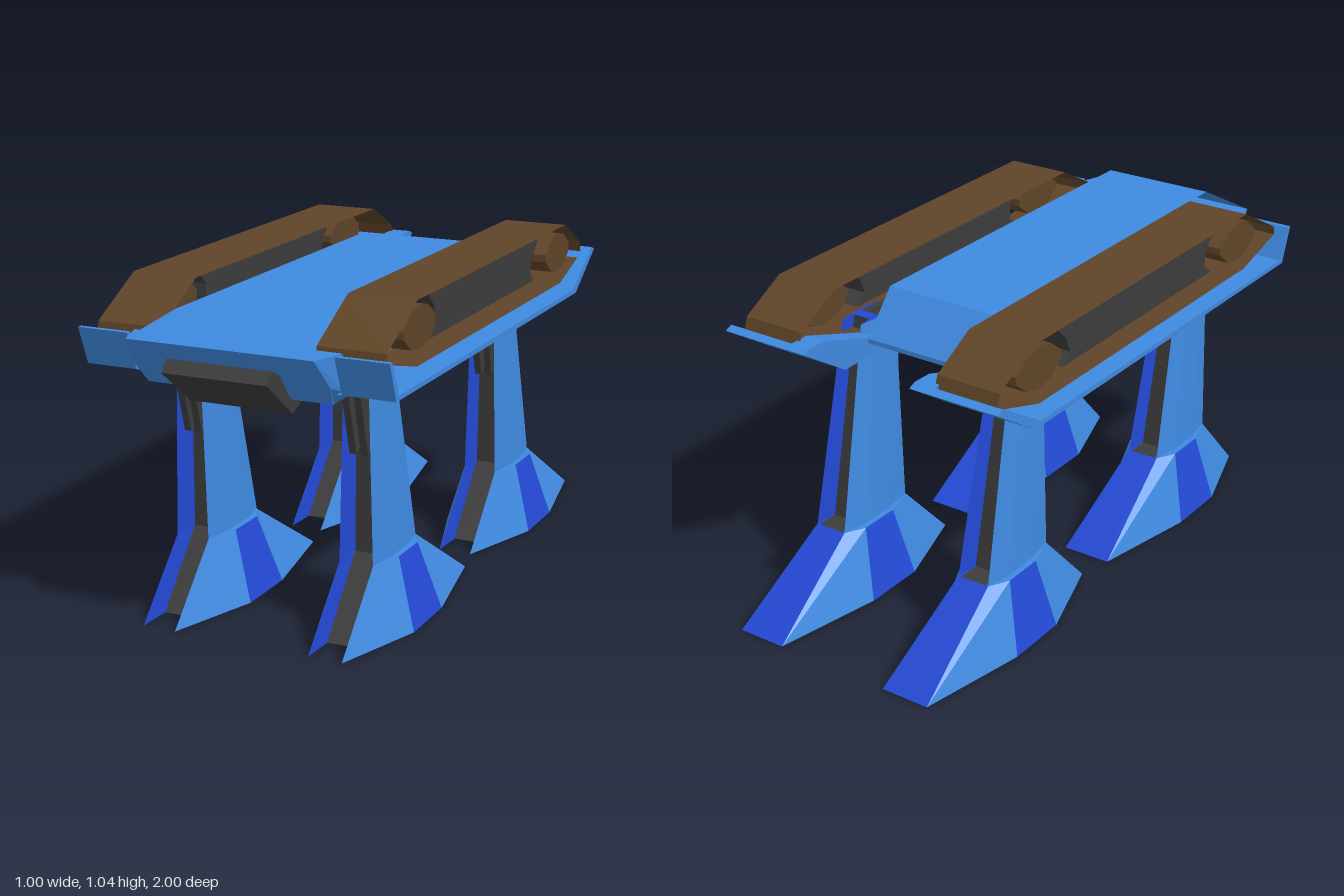
import * as THREE from 'three';

const mat = (color, side = THREE.FrontSide) =>
  new THREE.MeshStandardMaterial({ color, side, flatShading: true });
const BLUE = mat(0x3f8ae0), ROYAL = mat(0x2349d4), DARK = mat(0x3c3c3c);
const BROWN = mat(0x5f4428), BELT = mat(0x5f4428, THREE.DoubleSide);
const SHEET = mat(0x3f8ae0, THREE.DoubleSide), CAP = mat(0x2349d4, THREE.DoubleSide);

// Extrudes a (z, y) profile across x0..x1.
function slab(name, profile, x0, x1, material) {
  const shape = new THREE.Shape(profile.map(([z, y]) => new THREE.Vector2(z, y)));
  const geo = new THREE.ExtrudeGeometry(shape, { depth: x1 - x0, bevelEnabled: false });
  geo.rotateY(-Math.PI / 2).translate(x1, 0, 0);
  const mesh = new THREE.Mesh(geo, material);
  mesh.name = name;
  return mesh;
}

// Flat horizontal plate filling a ring of [x, y, z] points.
function plateOf(name, ring, material) {
  const shape = new THREE.Shape(ring.map(([x, , z]) => new THREE.Vector2(x, z)));
  const geo = new THREE.ShapeGeometry(shape).rotateX(Math.PI / 2).translate(0, ring[0][1], 0);
  const mesh = new THREE.Mesh(geo, material);
  mesh.name = name;
  return mesh;
}

// Skins rings of [x, y, z] points; pick(ring, side) chooses the material.
function skin(name, rings, { closed = true, caps = false, pick }) {
  const group = new THREE.Group();
  group.name = name;
  const bins = new Map();
  const tri = (m, ...pts) => {
    if (!bins.has(m)) bins.set(m, []);
    pts.forEach(p => bins.get(m).push(...p));
  };
  const n = rings[0].length, last = rings.length - 1;
  for (let i = 0; i < last; i++) {
    for (let j = 0; j < (closed ? n : n - 1); j++) {
      const k = (j + 1) % n, m = pick(i, j);
      const a = rings[i][j], b = rings[i][k], c = rings[i + 1][k], d = rings[i + 1][j];
      tri(m, a, b, c);
      tri(m, a, c, d);
    }
  }
  if (caps) for (let k = 1; k < n - 1; k++) {
    tri(pick(0, 0), rings[0][0], rings[0][k + 1], rings[0][k]);
    tri(pick(0, 0), rings[last][0], rings[last][k], rings[last][k + 1]);
  }
  for (const [m, pts] of bins) {
    const geo = new THREE.BufferGeometry();
    geo.setAttribute('position', new THREE.Float32BufferAttribute(pts, 3));
    geo.computeVertexNormals();
    const mesh = new THREE.Mesh(geo, m);
    mesh.name = name + 'Surface';
    group.add(mesh);
  }
  return group;
}

// Completes a half section (+x side) with its mirror image.
const mirrored = half => [...half, ...half.slice().reverse().map(([x, y, z]) => [-x, y, z])];

function makeLeg() {
  const leg = new THREE.Group();
  // Half sections: front channel floor, front flange, two side points, rear flange, rear channel floor
  const rings = [
    [0, [[0.05, 0.755], [0.055, 0.875], [0.152, 0.575], [0.152, 0.36], [0.082, -0.005], [0.06, -0.005]]],
    [0.225, [[0.05, 0.56], [0.055, 0.66], [0.09, 0.55], [0.09, 0.41], [0.055, 0.345], [0.045, 0.345]]],
    [0.225, [[0.05, 0.56], [0.055, 0.66], [0.07, 0.55], [0.07, 0.43], [0.055, 0.345], [0.045, 0.42]]],
    [0.89, [[0.034, 0.58], [0.038, 0.66], [0.042, 0.61], [0.042, 0.55], [0.036, 0.49], [0.03, 0.54]]],
  ].map(([y, pts]) => mirrored(pts.map(([x, z]) => [x, y, z])));
  const sides = [ROYAL, BLUE, BLUE, BLUE, ROYAL, DARK, ROYAL, BLUE, BLUE, BLUE, ROYAL, DARK];
  // The foot has a solid tail and coloured ankle panels
  const footSides = sides.map((m, j) => ([2, 5, 8].includes(j) ? ROYAL : m));
  leg.add(skin('shinAndFoot', rings, { pick: (i, j) => (i === 0 ? footSides : sides)[j] }));
  leg.add(plateOf('sole', rings[0], ROYAL), plateOf('hipTop', rings[3], CAP));
  // Two prongs inside the channel at the hip
  for (const x of [-0.03, 0.008]) {
    leg.add(slab('hipProng', [[0.73, 0.89], [0.71, 0.81], [0.64, 0.56], [0.57, 0.6], [0.57, 0.89]],
      x, x + 0.022, DARK));
  }
  return leg;
}

// side is +1 or -1: rollers and bar sit toward the outer edge of the belt
function makeTrack(side) {
  const track = new THREE.Group();
  const span = (a, b) => (side > 0 ? [a, b] : [-b, -a]);
  // Thin belt loop
  const loop = [[0.65, 1.044], [0.855, 0.935], [0.86, 0.905], [0.65, 0.85],
    [-0.57, 0.85], [-0.78, 0.915], [-0.765, 0.96], [-0.61, 1.044]];
  loop.push(loop[0]);
  track.add(skin('belt', loop.map(([z, y]) => [[-0.108, y, z], [0.108, y, z]]),
    { closed: false, pick: () => BELT }));
  // Flattened end rollers
  const half = [[0.115, 0.012], [0.06, 0.055], [0, 0.067], [-0.06, 0.055], [-0.115, 0.012]];
  const roller = [...half, ...half.slice().reverse().map(([z, y]) => [z, -y])];
  for (const z of [0.612, -0.558]) {
    track.add(slab('roller', roller.map(([dz, dy]) => [z + dz, 0.957 + dy]), ...span(-0.02, 0.1), BROWN));
  }
  // Core bar with notched ends
  track.add(slab('coreBar', [[0.495, 1.027], [0.44, 0.975], [0.44, 0.92], [0.48, 0.89],
    [-0.4, 0.89], [-0.36, 0.925], [-0.38, 0.975], [-0.435, 1.027]], ...span(-0.02, 0.075), DARK));
  return track;
}

export function createModel() {
  const model = new THREE.Group();
  model.name = 'fourLeggedWalker';

  // Lower hull, from the raked nose to the tapered tail
  const hull = [
    [[0.3, 0.925, 0.975], [0.315, 0.83, 0.9], [0.3, 0.77, 0.855]],
    [[0.335, 0.925, 0.865], [0.335, 0.81, 0.85], [0.3, 0.77, 0.845]],
    [[0.335, 0.82, 0.84], [0.335, 0.805, 0.84], [0.3, 0.77, 0.84]],
    [[0.335, 0.82, -0.34], [0.335, 0.805, -0.34], [0.3, 0.77, -0.34]],
    [[0.195, 0.865, -0.525], [0.195, 0.86, -0.525], [0.195, 0.85, -0.525]],
  ].map(mirrored);
  model.add(skin('hull', hull, { caps: true, pick: () => BLUE }));

  // Raised top plate
  const plate = [[0.3, 0.925, 0.975], [0.195, 1, 0.865], [0.195, 1, -0.41], [0.195, 0.865, -0.525]]
    .map(([x, y, z]) => [[-x, y, z], [x, y, z]]);
  model.add(skin('topPlate', plate, { closed: false, pick: () => SHEET }));

  // Sensor block under the nose
  model.add(slab('noseBlock', [[1, 0.845], [0.97, 0.88], [0.73, 0.77], [0.845, 0.725]],
    -0.168, 0.168, DARK));

  for (const s of [-1, 1]) {
    const span = (a, b) => (s > 0 ? [a, b] : [-b, -a]);
    // Side deck with upturned rear end
    model.add(slab('sideDeck', [[0.85, 0.82], [-0.61, 0.822], [-0.8, 0.936], [-0.825, 0.925],
      [-0.64, 0.805], [0.867, 0.805]], ...span(0.195, 0.5), BLUE));
    // Upturned front lip
    model.add(slab('frontLip', [[0.912, 0.925], [0.895, 0.925], [0.85, 0.82], [0.85, 0.805], [0.867, 0.805]],
      ...span(0.333, 0.5), BLUE));
    // Inner ramp at the rear of the deck
    model.add(slab('rearRamp', [[-0.33, 0.82], [-0.4, 0.845], [-0.48, 0.852], [-0.73, 0.935],
      [-0.8, 0.936], [-0.62, 0.82]], ...span(0.195, 0.262), BLUE));

    const track = makeTrack(s);
    track.name = s > 0 ? 'leftTrack' : 'rightTrack';
    track.position.x = s * 0.358;
    model.add(track);

    for (const [label, z] of [['front', 0], ['rear', -0.99]]) {
      const leg = makeLeg();
      leg.name = label + (s > 0 ? 'LeftLeg' : 'RightLeg');
      leg.position.set(s * 0.279, 0, z);
      model.add(leg);
    }
  }
  return model;
}
